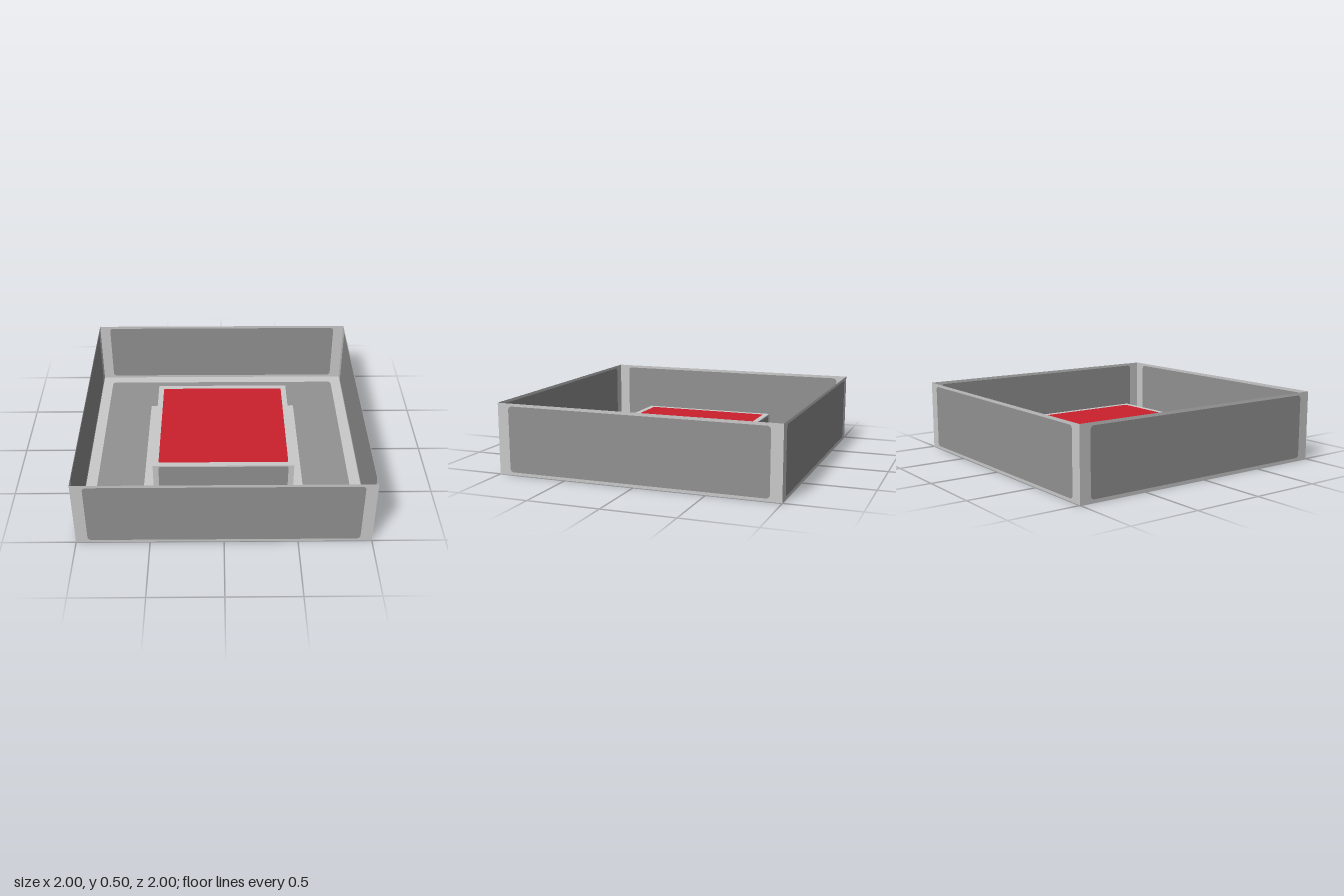
import * as THREE from 'three';

const mat = (name, color) => {
  const m = new THREE.MeshStandardMaterial({ color, side: THREE.DoubleSide });
  m.name = name;
  return m;
};

// Rectangle outline centred on the origin, with optional rounded corners.
function outline(target, w, h, r = 0) {
  const x = w / 2, y = h / 2;
  if (!r) {
    target.moveTo(-x, -y).lineTo(x, -y).lineTo(x, y).lineTo(-x, y).closePath();
    return target;
  }
  target.moveTo(-x + r, -y);
  target.absarc(x - r, -y + r, r, -Math.PI / 2, 0);
  target.absarc(x - r, y - r, r, 0, Math.PI / 2);
  target.absarc(-x + r, y - r, r, Math.PI / 2, Math.PI);
  target.absarc(-x + r, -y + r, r, Math.PI, Math.PI * 1.5);
  target.closePath();
  return target;
}

const rect = (w, h, r) => outline(new THREE.Shape(), w, h, r);
const hole = (w, h, r) => outline(new THREE.Path(), w, h, r);

function sheet(name, shape, cut, material) {
  if (cut) shape.holes.push(cut);
  const mesh = new THREE.Mesh(new THREE.ShapeGeometry(shape, 6), material);
  mesh.name = name;
  return mesh;
}

export function createModel() {
  const border = mat('light grey', 0xcacaca);
  const grey = mat('mid grey', 0x929292);
  const red = mat('red', 0xcb212c);

  // A flat sheet with a light border and a rounded coloured field.
  function panel(name, w, h, r, fill) {
    const g = new THREE.Group();
    g.name = name;
    const iw = w * 0.92, ih = h * 0.92;
    g.add(sheet(name + 'Border', rect(w, h), hole(iw, ih, r), border));
    g.add(sheet(name + 'Field', rect(iw, ih, r), null, fill));
    return g;
  }

  // Four upright walls around a square.
  function walls(name, size, height, r) {
    const g = new THREE.Group();
    g.name = name;
    ['front', 'left', 'back', 'right'].forEach((side, i) => {
      const a = i * Math.PI / 2;
      const wall = panel(side + 'Wall', size, height, r, grey);
      wall.rotation.y = a;
      wall.position.set(Math.sin(a) * size / 2, height / 2, Math.cos(a) * size / 2);
      g.add(wall);
    });
    return g;
  }

  const model = new THREE.Group();
  model.name = 'squareTray';
  model.add(walls('outerWalls', 2, 0.5, 0.026));
  model.add(walls('innerWalls', 1, 0.25, 0.013));

  // Ring-shaped floor, open under the central block.
  const floor = new THREE.Group();
  floor.name = 'floor';
  floor.rotation.x = -Math.PI / 2;
  floor.add(sheet('floorOuterBorder', rect(2, 2), hole(1.84, 1.84, 0.026), border));
  floor.add(sheet('floorField', rect(1.84, 1.84, 0.026), hole(1.156, 1.156, 0.01), grey));
  floor.add(sheet('floorInnerBorder', rect(1.156, 1.156, 0.01), hole(1, 1), border));
  model.add(floor);

  // Red top of the central block.
  const top = panel('blockTop', 1, 1, 0.012, red);
  top.rotation.x = -Math.PI / 2;
  top.position.y = 0.25;
  model.add(top);

  return model;
}
